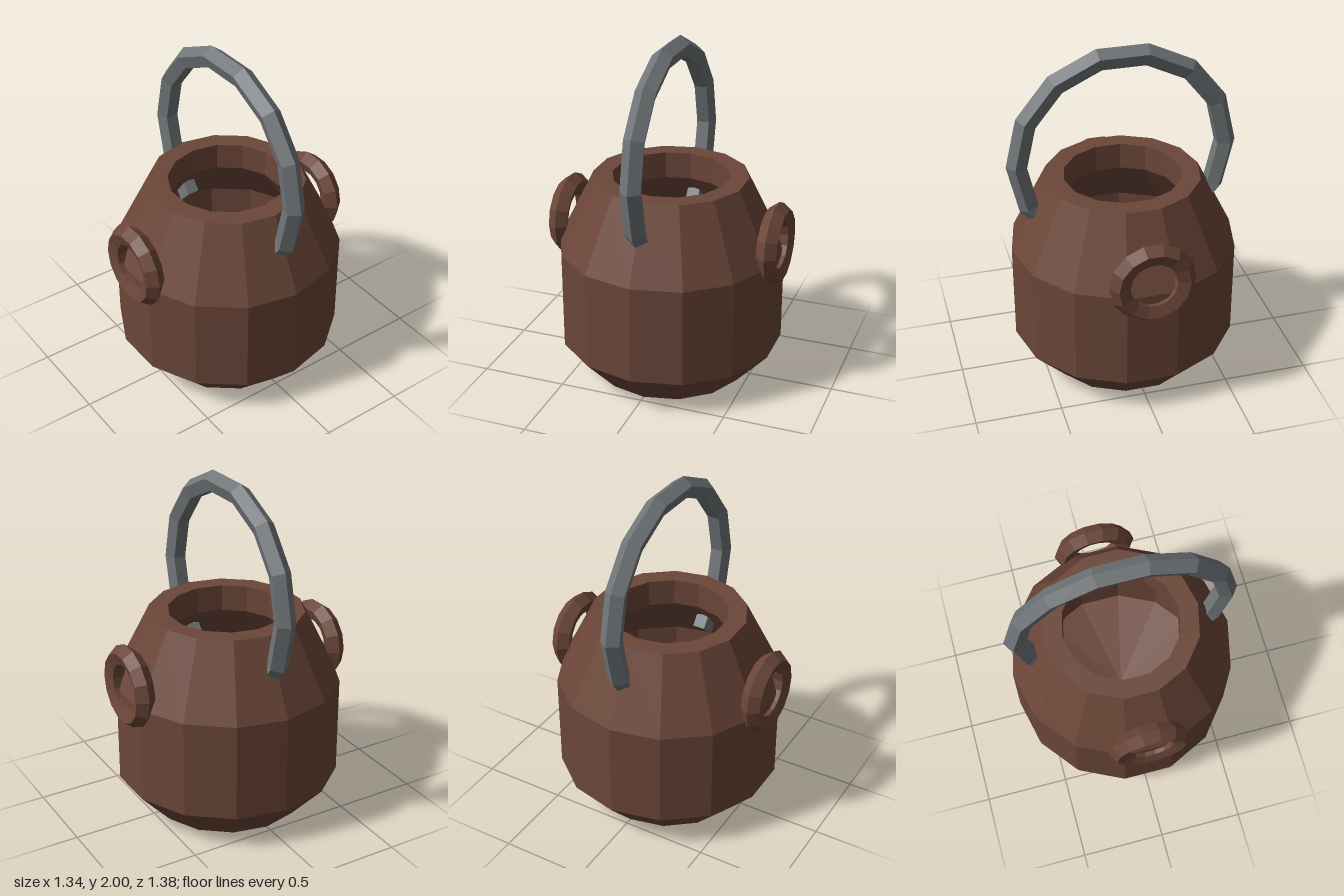
import * as THREE from 'three';

const SIDES = 14;

export function createModel() {
  const pot = new THREE.Group();
  pot.name = 'pot';

  const clay = new THREE.MeshStandardMaterial({ color: 0x6b4638, flatShading: true });
  clay.name = 'brown clay';
  const iron = new THREE.MeshStandardMaterial({ color: 0x707578, flatShading: true });
  iron.name = 'grey iron';

  const add = (name, geometry, material) => {
    const mesh = new THREE.Mesh(geometry, material);
    mesh.name = name;
    pot.add(mesh);
    return mesh;
  };

  // Hollow body: base, outer wall, flat rim, neck, inner wall, shallow bowl floor
  const profile = [
    [0, 0], [0.46, 0], [0.66, 0.22], [0.66, 0.8], [0.45, 1.22],
    [0.34, 1.22], [0.34, 1.06], [0.55, 0.76], [0.55, 0.26], [0, 0.12],
  ].map(([r, y]) => new THREE.Vector2(r, y));
  add('body', new THREE.LatheGeometry(profile, SIDES, Math.PI / 2), clay);

  // Round rings on the front and back
  for (const [name, z] of [['frontRing', 0.632], ['backRing', -0.632]]) {
    const ring = add(name, new THREE.TorusGeometry(0.185, 0.061, 5, SIDES), clay);
    ring.position.set(0, 0.88, z);
  }

  // Carrying handle, both ends sunk into the shoulders
  const step = (Math.PI * 2) / SIDES;
  const arcSteps = 11;
  const handleGeometry = new THREE.TorusGeometry(0.606, 0.063, 5, arcSteps, arcSteps * step);
  handleGeometry.rotateZ(-2 * step);
  add('handle', handleGeometry, iron).position.y = 1.348;

  return pot;
}
